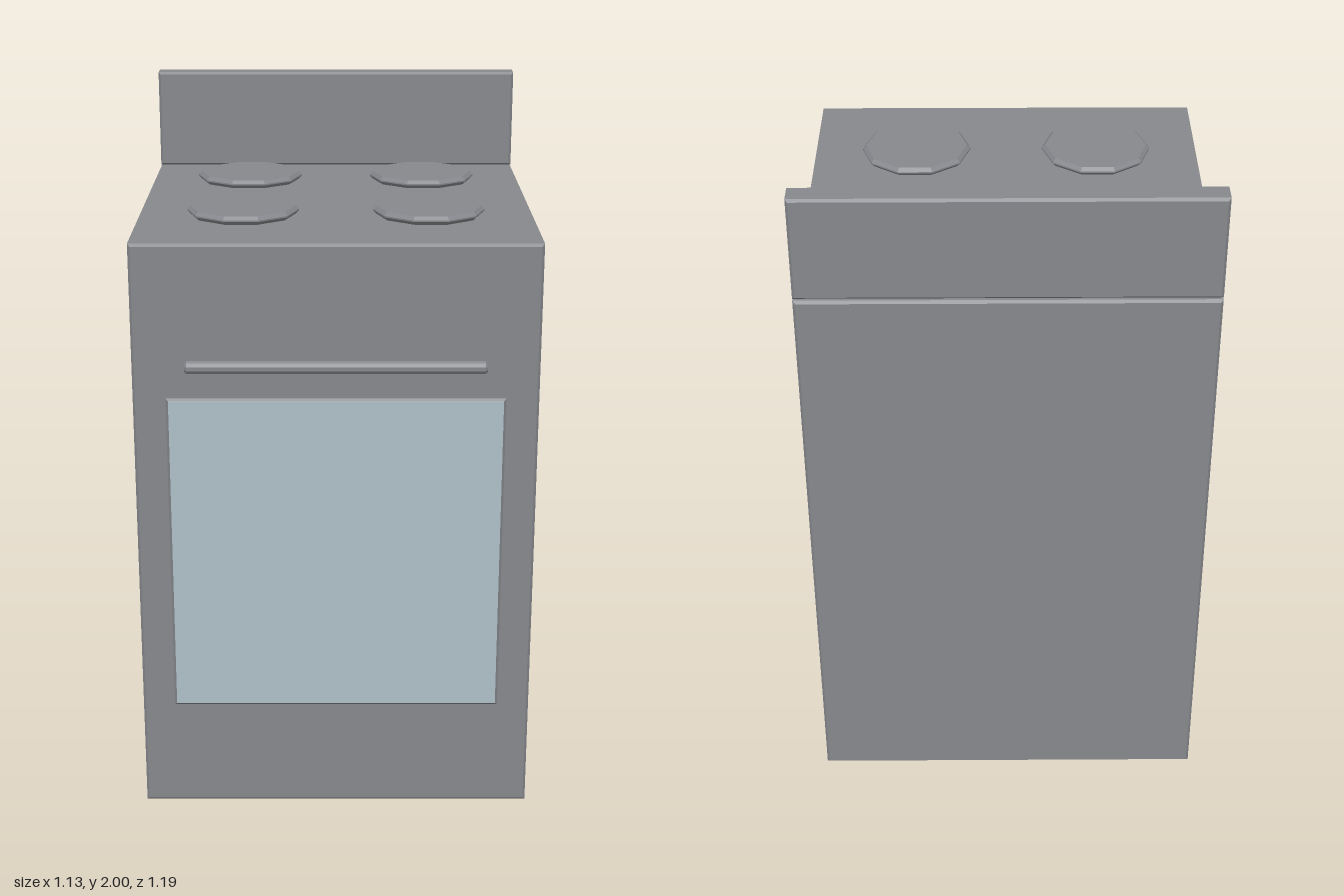
import * as THREE from 'three';

const enamel = new THREE.MeshStandardMaterial({ color: 0x86888d });
enamel.name = 'grey enamel';
const glass = new THREE.MeshStandardMaterial({ color: 0xaec0c8 });
glass.name = 'pale blue glass';

// Box with chamfered edges, given by its min and max corners
function chamferBox([x0, y0, z0], [x1, y1, z1], c) {
  const shape = new THREE.Shape();
  const a = x0 + c, b = x1 - c, d = y0 + c, e = y1 - c;
  shape.moveTo(a, d).lineTo(b, d).lineTo(b, e).lineTo(a, e).closePath();
  const geo = new THREE.ExtrudeGeometry(shape, {
    depth: z1 - z0 - 2 * c, bevelThickness: c, bevelSize: c, bevelSegments: 1,
  });
  return geo.translate(0, 0, z0 + c);
}

// Ten-sided disc or rod along y with chamfered rims, corners on the x axis
function chamferCylinder(radius, height, c) {
  const h = height / 2;
  const profile = [[0, -h], [radius - c, -h], [radius, -h + c], [radius, h - c], [radius - c, h], [0, h]]
    .map(([r, y]) => new THREE.Vector2(r, y));
  const geo = new THREE.LatheGeometry(profile, 10, Math.PI / 2).toNonIndexed();
  geo.computeVertexNormals();
  return geo;
}

export function createModel() {
  const stove = new THREE.Group();
  stove.name = 'stove';
  const add = (name, geometry, material = enamel) => {
    const mesh = new THREE.Mesh(geometry, material);
    mesh.name = name;
    stove.add(mesh);
    return mesh;
  };

  // Cabinet and upright back panel
  add('cabinet', chamferBox([-0.563, 0, -0.595], [0.563, 1.698, 0.536], 0.007));
  add('backPanel', chamferBox([-0.563, 1.704, -0.595], [0.563, 2, -0.523], 0.007));

  // Oven window: chamfered frame with a thin pane on its front
  add('windowFrame', chamferBox([-0.47, 0.326, 0.539], [0.47, 1.266, 0.557], 0.007));
  add('windowPane', new THREE.BoxGeometry(0.926, 0.926, 0.002), glass).position.set(0, 0.796, 0.557);

  // Oven door handle
  const handle = add('doorHandle', chamferCylinder(0.019, 0.828, 0.007));
  handle.rotation.z = Math.PI / 2;
  handle.position.set(0, 1.364, 0.578);

  // Four hob plates
  for (const [row, z] of [['back', -0.276], ['front', 0.215]]) {
    for (const [side, x] of [['Left', 0.264], ['Right', -0.264]]) {
      add(`${row}${side}Burner`, chamferCylinder(0.159, 0.024, 0.01)).position.set(x, 1.722, z);
    }
  }
  return stove;
}
